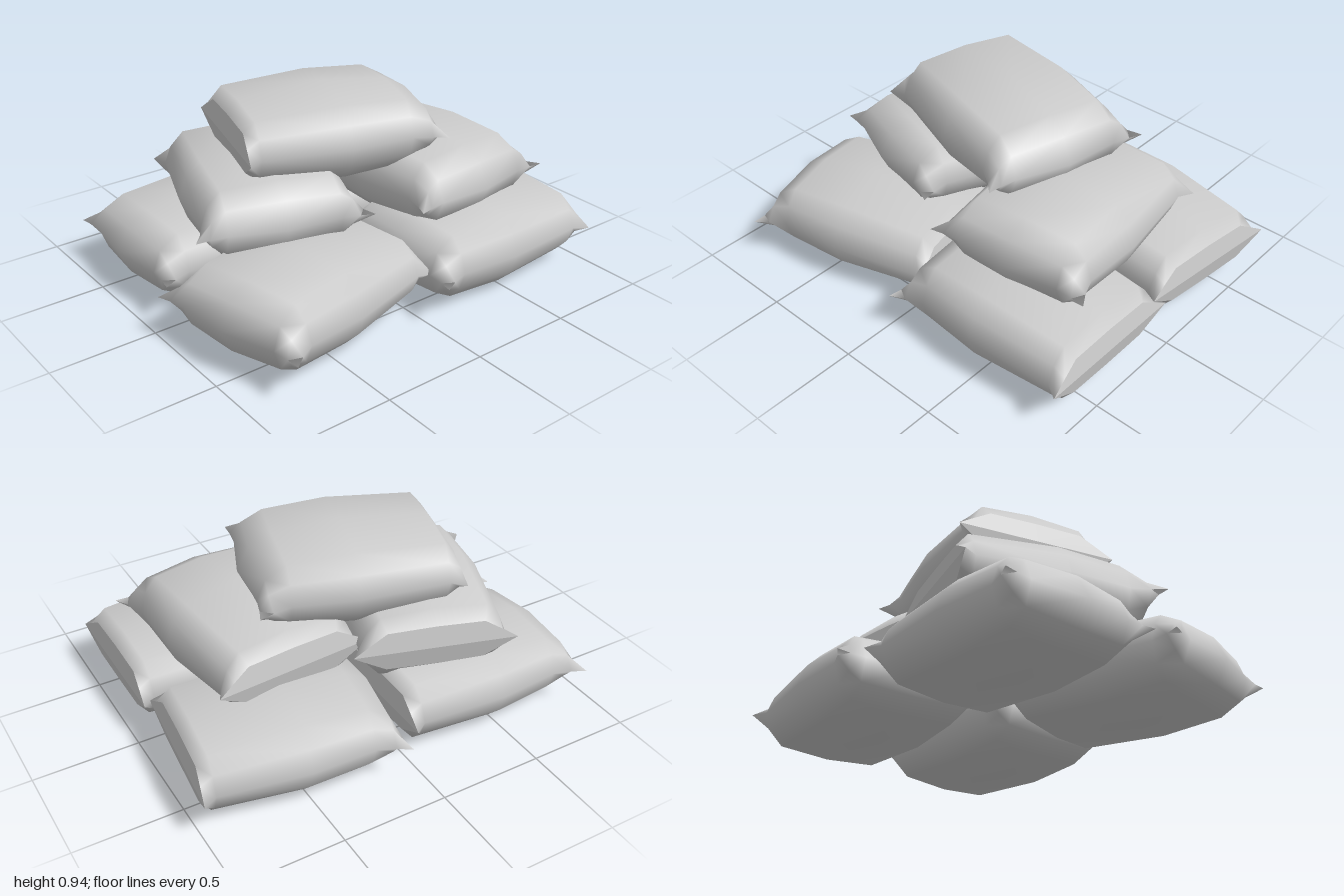
import * as THREE from 'three';
import { mergeGeometries, mergeVertices } from 'three/addons/utils/BufferGeometryUtils.js';

// Half cross-sections along the sack, from the sewn end to the flat end.
// Each point is [x, height, halfWidth]: seam, flank, crest, middle.
const SECTIONS = [
  [[-0.465, 0, 0.405], [-0.455, 0, 0.34], [-0.45, 0, 0.26], [-0.485, 0, 0]],
  [[-0.4, 0, 0.372], [-0.41, 0.06, 0.32], [-0.412, 0.1, 0.26], [-0.43, 0.115, 0]],
  [[-0.315, 0, 0.345], [-0.315, 0.09, 0.315], [-0.315, 0.155, 0.255], [-0.325, 0.172, 0]],
  [[-0.015, 0, 0.37], [-0.015, 0.1, 0.335], [-0.015, 0.172, 0.265], [-0.015, 0.205, 0]],
  [[0.4, 0, 0.338], [0.4, 0.085, 0.305], [0.4, 0.15, 0.245], [0.4, 0.168, 0]],
  [[0.465, 0, 0.38], [0.456, 0.048, 0.303], [0.447, 0.095, 0.225], [0.446, 0.1, 0]],
];

// Mirrors a half section into a closed ring of 12 points
function ring(half) {
  const top = [
    ...half,
    ...half.slice(0, 3).reverse().map(([x, y, z]) => [x, y, -z]),
  ];
  const bottom = top.slice(1, -1).reverse().map(([x, y, z]) => [x, -y, z]);
  return [...top, ...bottom];
}

function geometryFrom(points, index) {
  const g = new THREE.BufferGeometry();
  g.setAttribute('position', new THREE.Float32BufferAttribute(points.flat(), 3));
  g.setIndex(index);
  return g;
}

function sackGeometry() {
  const rings = SECTIONS.map(ring);
  const n = rings[0].length;

  // Smooth stuffed body
  const index = [];
  for (let i = 0; i < rings.length - 1; i++) {
    for (let j = 0; j < n; j++) {
      const k = (j + 1) % n;
      const a = i * n + j, b = i * n + k, c = a + n, d = b + n;
      index.push(a, c, b, b, c, d);
    }
  }
  const body = mergeVertices(geometryFrom(rings.flat(), index), 1e-4);
  body.computeVertexNormals();

  // Flat end panel with a crisp rim
  const end = rings[rings.length - 1];
  const fan = [];
  for (let j = 0; j < n; j++) fan.push(n, (j + 1) % n, j);
  const cap = geometryFrom([...end, [0.465, 0, 0]], fan).toNonIndexed();
  cap.computeVertexNormals();

  return mergeGeometries([body.toNonIndexed(), cap]);
}

export function createModel() {
  const group = new THREE.Group();
  group.name = 'sackPile';
  const geometry = sackGeometry();
  const material = new THREE.MeshStandardMaterial({ color: 0xcccccc });

  // name, x, y, z, yaw
  const sacks = [
    ['bottomSackBackLeft', 0.498, 0.205, -0.414, -0.106],
    ['bottomSackBackRight', -0.463, 0.205, -0.405, 0],
    ['bottomSackFrontRight', -0.46, 0.205, 0.347, 0.21],
    ['bottomSackFrontLeft', 0.495, 0.205, 0.36, 0],
    ['middleSackRight', -0.346, 0.47, -0.155, 1.274],
    ['middleSackLeft', 0.438, 0.47, 0.041, 1.651],
    ['topSack', -0.022, 0.73, -0.092, 2.874],
  ];
  for (const [name, x, y, z, yaw] of sacks) {
    const sack = new THREE.Mesh(geometry, material);
    sack.name = name;
    sack.position.set(x, y, z);
    sack.rotation.y = yaw;
    group.add(sack);
  }
  return group;
}
